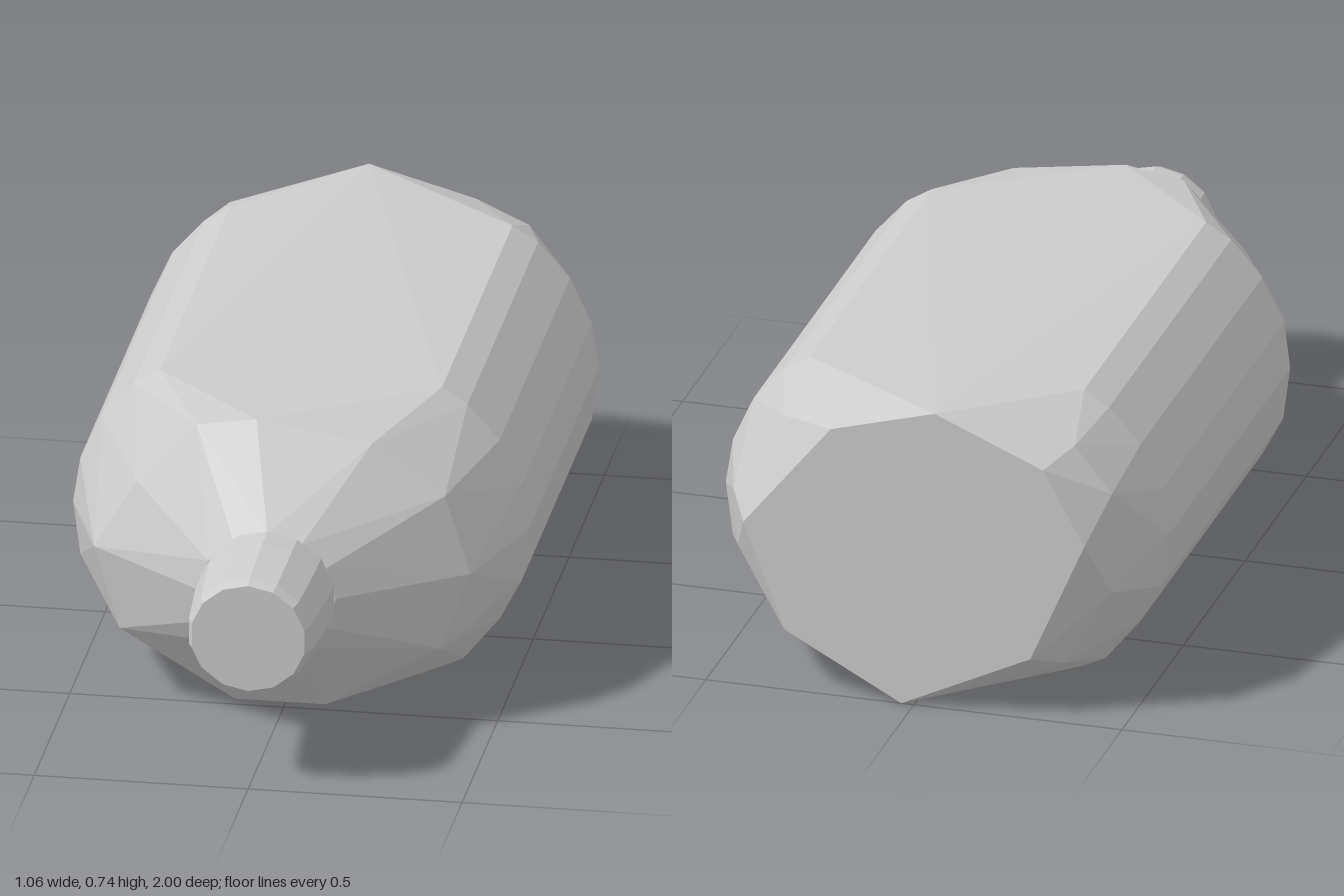
import * as THREE from 'three';
import { ConvexGeometry } from 'three/addons/geometries/ConvexGeometry.js';

const material = new THREE.MeshStandardMaterial({ color: 0xcccccc, flatShading: true });
const CENTER_Y = 0.375;

// place 2D outline points [x, y] on a plane of constant z
const ring = (z, outline) => outline.map(([x, y]) => new THREE.Vector3(x, y, z));

function createBody() {
  // widest section, right half mirrored to the left
  const half = [[0.33, 0.722], [0.39, 0.685], [0.465, 0.6], [0.515, 0.49], [0.532, 0.38],
    [0.515, 0.25], [0.465, 0.155], [0.38, 0.05], [0.32, 0.022]];
  const section = half.flatMap(([x, y]) => [[x, y], [-x, y]]);

  // faceted shoulder
  const shoulder = [[0.21, 0.68], [0.38, 0.56], [0.44, 0.37], [0.37, 0.18], [0.1, 0.022],
    [-0.11, 0.022], [-0.38, 0.18], [-0.44, 0.38], [-0.34, 0.55], [-0.2, 0.7], [-0.06, 0.722]];

  // mouth where the neck begins
  const mouth = [];
  for (let i = 0; i < 12; i++) {
    const a = (i / 12) * Math.PI * 2;
    mouth.push([0.16 * Math.cos(a), CENTER_Y + 0.15 * Math.sin(a)]);
  }

  // cut corners around the base, and the flat base itself
  const corners = [[0.46, 0.45], [0.45, 0.31], [-0.45, 0.55], [-0.45, 0.3],
    [0.34, 0.65], [-0.36, 0.66], [0.34, 0.11], [-0.34, 0.11]];
  const base = [[0.41, 0.41], [0.2, 0.67], [-0.05, 0.74], [-0.31, 0.63], [-0.41, 0.45],
    [-0.28, 0.15], [0.03, 0], [0.31, 0.15]];

  const points = [
    ...ring(0.73, mouth),
    ...ring(0.52, shoulder),
    ...ring(0.26, section),
    ...ring(-0.73, section),
    ...ring(-0.91, corners),
    ...ring(-1, base),
  ];
  const body = new THREE.Mesh(new ConvexGeometry(points), material);
  body.name = 'body';
  return body;
}

function createNeck() {
  // tapered neck with a small bevel and a closed end
  const profile = [[0.16, 0.68], [0.16, 0.8], [0.146, 0.975], [0.135, 1], [0, 1]]
    .map(([r, h]) => new THREE.Vector2(r, h));
  const geometry = new THREE.LatheGeometry(profile, 14);
  geometry.rotateX(Math.PI / 2);
  const neck = new THREE.Mesh(geometry, material);
  neck.position.y = CENTER_Y;
  neck.scale.y = 0.97;
  neck.name = 'neck';
  return neck;
}

export function createModel() {
  const model = new THREE.Group();
  model.name = 'flask';
  model.add(createBody(), createNeck());
  return model;
}
